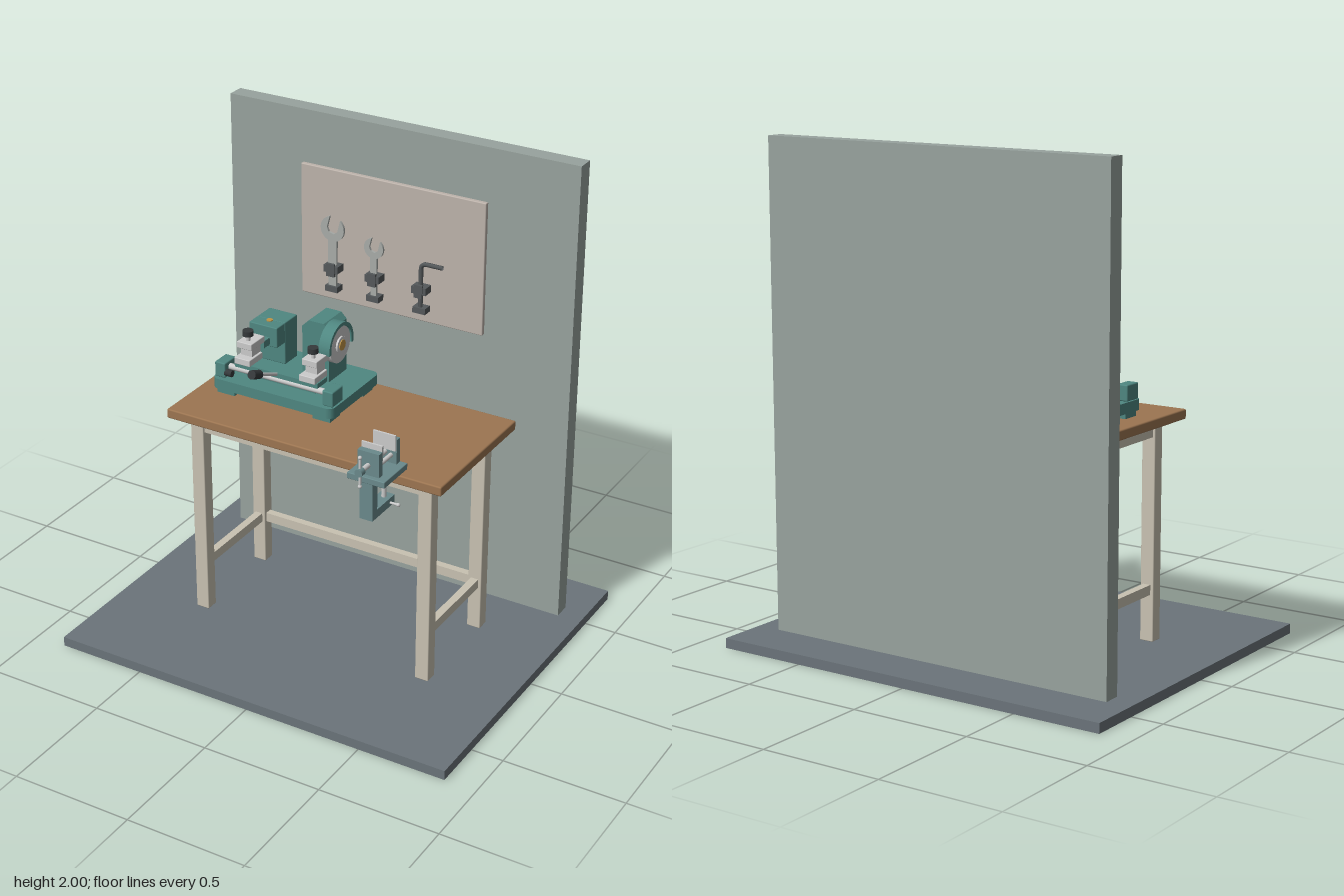
import * as THREE from 'three';
import { RoundedBoxGeometry } from 'three/addons/geometries/RoundedBoxGeometry.js';

const mat = (color) => new THREE.MeshStandardMaterial({ color, flatShading: false });
const M = {
  grey: mat(0xcccccc), floor: mat(0x6b747a), wall: mat(0x98a39e), board: mat(0xbdb3ab),
  wood: mat(0x9c7551), frame: mat(0xc9c2b2), teal: mat(0x4f8781), vise: mat(0x6a8a8c),
  dark: mat(0x35393b), hook: mat(0x55595b), brass: mat(0xc09545), steel: mat(0xa8aca9),
};

function add(parent, name, geometry, material) {
  const mesh = new THREE.Mesh(geometry, material);
  mesh.name = name;
  parent.add(mesh);
  return mesh;
}

// Box given by its limits on each axis, optionally with softened edges
function box(parent, name, material, [x0, x1], [y0, y1], [z0, z1], r = 0) {
  const s = [x1 - x0, y1 - y0, z1 - z0];
  const g = r ? new RoundedBoxGeometry(...s, 2, r) : new THREE.BoxGeometry(...s);
  g.translate((x0 + x1) / 2, (y0 + y1) / 2, (z0 + z1) / 2);
  return add(parent, name, g, material);
}

// Round rod between two points
function rod(parent, name, material, a, b, r, sides = 20) {
  const p = new THREE.Vector3(...a), q = new THREE.Vector3(...b);
  const mesh = add(parent, name, new THREE.CylinderGeometry(r, r, p.distanceTo(q), sides), material);
  mesh.position.copy(p).add(q).multiplyScalar(0.5);
  mesh.quaternion.setFromUnitVectors(new THREE.Vector3(0, 1, 0), q.sub(p).normalize());
  return mesh;
}

function group(parent, name) {
  const g = new THREE.Group();
  g.name = name;
  parent.add(g);
  return g;
}

function buildTable(root) {
  const t = group(root, 'workbench');
  box(t, 'tabletop', M.wood, [-0.61, 0.61], [0.92, 0.96], [-0.305, 0.305], 0.006);
  for (const s of [-1, 1]) {
    const span = (a, b) => (s > 0 ? [a, b] : [-b, -a]);
    for (const z of [[0.19, 0.245], [-0.245, -0.19]]) box(t, 'leg', M.frame, span(0.482, 0.54), [0.04, 0.92], z, 0.004);
    box(t, 'sideApron', M.frame, span(0.492, 0.53), [0.858, 0.92], [-0.19, 0.19]);
    box(t, 'sideStretcher', M.frame, span(0.495, 0.527), [0.23, 0.27], [-0.19, 0.19]);
    box(t, 'longApron', M.frame, [-0.482, 0.482], [0.858, 0.92], span(0.2, 0.235));
  }
  box(t, 'backStretcher', M.frame, [-0.482, 0.482], [0.23, 0.27], [-0.233, -0.202]);
}

// Open-ended wrench outline, foot at the origin, jaw tilted to one side
function wrenchGeometry(height, headR, handleW) {
  const cy = height - headR, w = handleW / 2, tilt = -0.25;
  const low = Math.asin(w / headR), gap = 0.48;
  const s = new THREE.Shape();
  s.moveTo(-w * 0.85, 0);
  s.lineTo(w * 0.85, 0);
  s.lineTo(w, cy - Math.cos(low) * headR);
  const mid = Math.PI / 2 + tilt;
  s.absarc(0, cy, headR, -Math.PI / 2 + low, mid - gap, false);
  // Jaw notch
  const half = headR * Math.sin(gap);
  for (const [u, v] of [[-half, -0.05], [-half * 0.5, -0.35], [half * 0.5, -0.35], [half, -0.05]]) {
    const d = v * headR;
    s.lineTo(Math.cos(mid) * d - Math.sin(mid) * u, cy + Math.sin(mid) * d + Math.cos(mid) * u);
  }
  s.absarc(0, cy, headR, mid + gap, 1.5 * Math.PI - low, false);
  return new THREE.ExtrudeGeometry(s, { depth: 0.01, bevelEnabled: false, curveSegments: 16 });
}

function buildToolBoard(root) {
  const b = group(root, 'toolBoard');
  box(b, 'boardPanel', M.board, [-0.41, 0.41], [1.24, 1.795], [-0.406, -0.386], 0.004);
  for (const y of [1.335, 1.652]) box(b, 'boardBatten', M.hook, [-0.345, 0.345], [y, y + 0.043], [-0.44, -0.406]);
  for (const x of [-0.248, -0.06, 0.15]) {
    box(b, 'upperHolder', M.hook, [x - 0.032, x + 0.032], [1.375, 1.405], [-0.386, -0.34]);
    box(b, 'lowerHolder', M.hook, [x - 0.028, x + 0.028], [1.29, 1.315], [-0.386, -0.345]);
    box(b, 'holderLip', M.hook, [x - 0.018, x + 0.018], [1.36, 1.415], [-0.347, -0.336]);
  }
  add(b, 'largeWrench', wrenchGeometry(0.302, 0.053, 0.04), M.steel).position.set(-0.248, 1.31, -0.364);
  add(b, 'smallWrench', wrenchGeometry(0.25, 0.043, 0.03), M.steel).position.set(-0.06, 1.31, -0.364);
  // Bent hexagonal key
  const path = new THREE.CurvePath();
  const v = (x, y) => new THREE.Vector3(x, y, -0.36);
  path.add(new THREE.LineCurve3(v(0.15, 1.31), v(0.15, 1.475)));
  path.add(new THREE.QuadraticBezierCurve3(v(0.15, 1.475), v(0.15, 1.5), v(0.175, 1.5)));
  path.add(new THREE.LineCurve3(v(0.175, 1.5), v(0.245, 1.5)));
  add(b, 'hexKey', new THREE.TubeGeometry(path, 40, 0.009, 6), new THREE.MeshStandardMaterial({ color: 0x55595b, side: THREE.DoubleSide }));
}

function buildMachine(root) {
  const m = group(root, 'cuttingMachine');
  // Rounded base on four feet
  const x0 = -0.535, x1 = 0.018, z0 = -0.275, z1 = 0.098, r = 0.03;
  const s = new THREE.Shape();
  s.absarc(x1 - r, z1 - r, r, 0, Math.PI / 2);
  s.absarc(x0 + r, z1 - r, r, Math.PI / 2, Math.PI);
  s.absarc(x0 + r, z0 + r, r, Math.PI, Math.PI * 1.5);
  s.absarc(x1 - r, z0 + r, r, Math.PI * 1.5, Math.PI * 2);
  const base = new THREE.ExtrudeGeometry(s, { depth: 0.043, bevelEnabled: false, curveSegments: 6 });
  base.rotateX(Math.PI / 2).translate(0, 1.028, 0);
  add(m, 'machineBase', base, M.teal);
  for (const x of [-0.52, -0.08]) for (const z of [0.005, -0.25]) box(m, 'machineFoot', M.teal, [x, x + 0.08], [0.96, 0.985], [z, z + 0.075]);

  // Rail lugs, guide rails and sliding bar
  for (const x of [-0.53, -0.036]) box(m, 'railLug', M.teal, [x, x + 0.048], [1.028, 1.092], [0, 0.08], 0.005);
  rod(m, 'guideRail', M.grey, [-0.485, 1.067, 0.043], [-0.035, 1.067, 0.043], 0.013);
  rod(m, 'adjusterKnob', M.dark, [-0.487, 1.05, 0.068], [-0.455, 1.05, 0.068], 0.014);
  box(m, 'carriageBar', M.teal, [-0.45, -0.07], [1.08, 1.1], [-0.015, 0.058]);
  box(m, 'carriageSkirt', M.teal, [-0.42, -0.1], [1.035, 1.08], [-0.012, 0.022]);

  // Two matching key clamps
  for (const x of [-0.408, -0.11]) {
    const c = group(m, 'keyClamp');
    const px = (w) => [x - w, x + w];
    box(c, 'clampFoot', M.grey, px(0.036), [1.1, 1.128], [-0.025, 0.07], 0.003);
    box(c, 'clampNeck', M.grey, px(0.026), [1.128, 1.162], [-0.025, 0.035]);
    box(c, 'clampJaw', M.grey, px(0.034), [1.162, 1.19], [-0.045, 0.052], 0.003);
    rod(c, 'clampScrew', M.grey, [x, 1.19, 0.022], [x, 1.215, 0.022], 0.009);
    rod(c, 'clampKnob', M.dark, [x, 1.212, 0.022], [x, 1.234, 0.022], 0.022);
  }

  // Guide tower with tracer arm
  box(m, 'guideTower', M.teal, [-0.472, -0.342], [1.028, 1.212], [-0.238, -0.145], 0.004);
  box(m, 'guideTowerCap', M.teal, [-0.472, -0.342], [1.125, 1.212], [-0.146, -0.085], 0.004);
  box(m, 'tracerArm', M.teal, [-0.438, -0.376], [1.135, 1.165], [-0.09, -0.042]);
  rod(m, 'tracerScrew', M.brass, [-0.407, 1.2, -0.135], [-0.407, 1.216, -0.135], 0.013);

  // Cutter tower with chamfered top
  const tower = new THREE.Shape();
  [[-0.235, 1.028], [-0.112, 1.028], [-0.112, 1.25], [-0.137, 1.275], [-0.205, 1.275], [-0.235, 1.245]]
    .forEach(([x, y], i) => (i ? tower.lineTo(x, y) : tower.moveTo(x, y)));
  add(m, 'cutterTower', new THREE.ExtrudeGeometry(tower, { depth: 0.135, bevelEnabled: false }), M.teal).position.z = -0.237;

  // Cutter wheel, hub and curved guard
  const at = (x) => [x, 1.2, -0.113];
  rod(m, 'cutterAxle', M.grey, at(-0.112), at(-0.06), 0.035);
  rod(m, 'cutterWheel', M.grey, at(-0.098), at(-0.068), 0.076, 40);
  rod(m, 'cutterHub', M.brass, at(-0.07), at(-0.056), 0.022);
  const guard = new THREE.Shape();
  guard.absarc(0, 0, 0.092, -0.25, 3.3, false);
  guard.absarc(0, 0, 0.078, 3.3, -0.25, true);
  const g = new THREE.ExtrudeGeometry(guard, { depth: 0.05, bevelEnabled: false, curveSegments: 28 });
  g.rotateY(Math.PI / 2).translate(-0.112, 1.2, -0.113);
  add(m, 'wheelGuard', g, M.teal);

  // Feed lever
  rod(m, 'leverRod', M.grey, [-0.258, 1.09, 0.045], [-0.258, 1.152, 0.19], 0.007);
  rod(m, 'leverGrip', M.dark, [-0.258, 1.147, 0.178], [-0.258, 1.168, 0.232], 0.018);
}

// Bar with a ball at each end
function handle(parent, a, b) {
  rod(parent, 'handleBar', M.grey, a, b, 0.005, 12);
  for (const p of [a, b]) add(parent, 'handleBall', new THREE.SphereGeometry(0.008, 12, 8), M.grey).position.set(...p);
}

function buildVise(root) {
  const v = group(root, 'vise');
  const cx = 0.357;
  const px = (w) => [cx - w, cx + w];
  box(v, 'visePlate', M.vise, px(0.08), [0.962, 0.988], [0.248, 0.422], 0.003);
  // Bench clamp
  box(v, 'clampSpine', M.vise, px(0.028), [0.805, 0.965], [0.382, 0.418]);
  box(v, 'clampArm', M.vise, px(0.028), [0.805, 0.84], [0.25, 0.382]);
  rod(v, 'clampScrew', M.grey, [cx, 0.795, 0.283], [cx, 0.908, 0.283], 0.01);
  rod(v, 'clampPad', M.grey, [cx, 0.905, 0.283], [cx, 0.92, 0.283], 0.022);
  handle(v, [cx - 0.062, 0.82, 0.283], [cx + 0.062, 0.82, 0.283]);
  // Jaws, slides and main screw
  box(v, 'fixedJaw', M.vise, px(0.05), [0.988, 1.09], [0.253, 0.278]);
  box(v, 'fixedJawFace', M.grey, px(0.048), [1.045, 1.11], [0.278, 0.286]);
  box(v, 'movingJaw', M.vise, px(0.046), [0.988, 1.085], [0.377, 0.403]);
  box(v, 'movingJawFace', M.grey, px(0.044), [1.045, 1.108], [0.369, 0.377]);
  for (const s of [-1, 1]) rod(v, 'slideRod', M.grey, [cx + s * 0.026, 1.022, 0.278], [cx + s * 0.026, 1.022, 0.38], 0.009);
  rod(v, 'mainScrew', M.grey, [cx, 1.03, 0.278], [cx, 1.03, 0.472], 0.01);
  rod(v, 'screwHead', M.vise, [cx, 1.03, 0.45], [cx, 1.03, 0.476], 0.016);
  handle(v, [cx, 0.97, 0.463], [cx, 1.09, 0.463]);
}

export function createModel() {
  const root = new THREE.Group();
  root.name = 'workshopCorner';
  box(root, 'floor', M.floor, [-0.868, 0.868], [0, 0.04], [-0.715, 0.715]);
  box(root, 'wall', M.wall, [-0.77, 0.77], [0.04, 2], [-0.512, -0.44]);
  buildTable(root);
  buildToolBoard(root);
  buildMachine(root);
  buildVise(root);
  return root;
}
